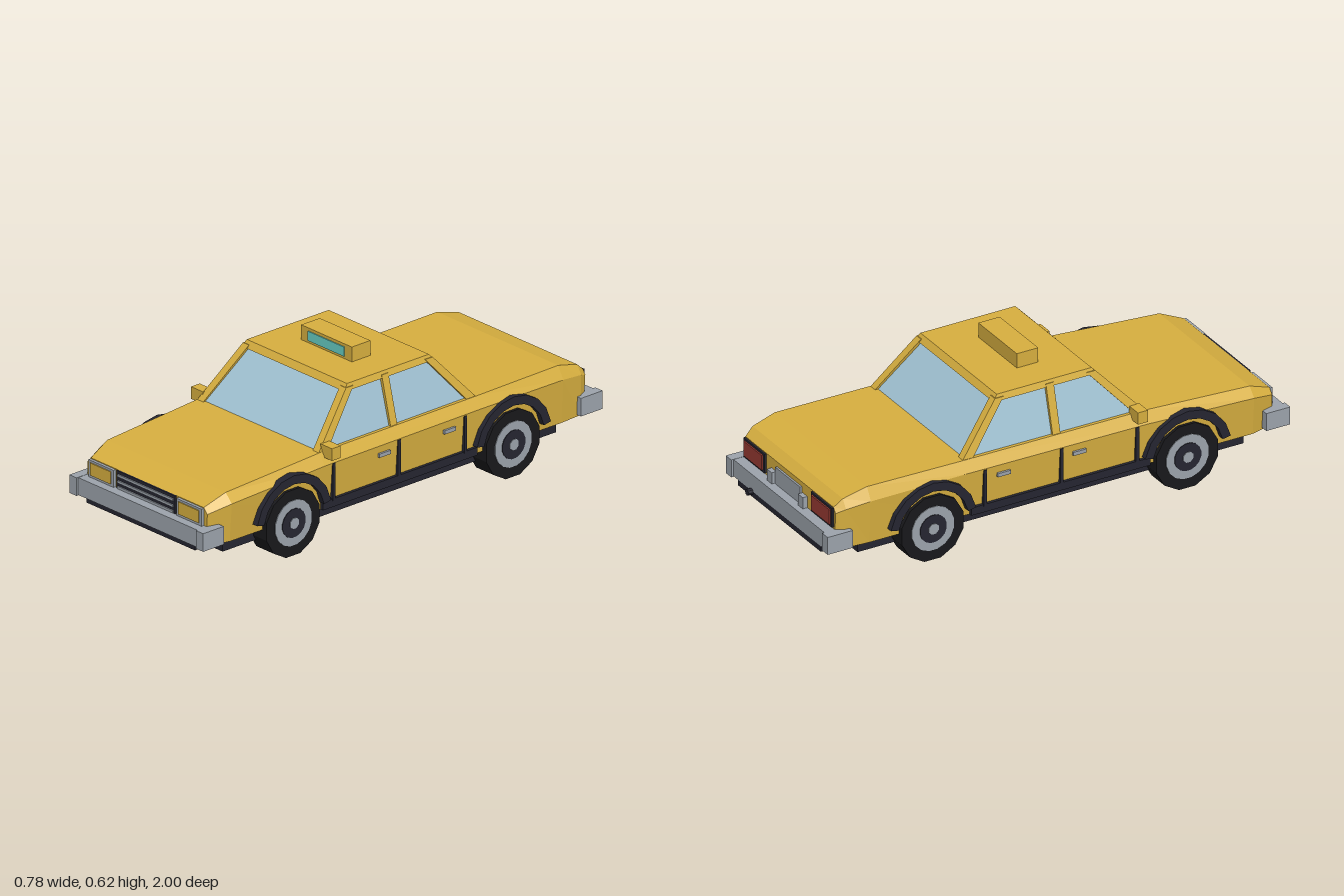
import * as THREE from 'three';

const paint = (name, color) => {
  const m = new THREE.MeshStandardMaterial({ color });
  m.name = name;
  return m;
};

export function createModel() {
  const yellow = paint('yellow paint', 0xd6ae3f);
  const glass = paint('window glass', 0xa2c4d5);
  const trim = paint('dark trim', 0x252530);
  const rubber = paint('tyre rubber', 0x18181b);
  const metal = paint('grey metal', 0x9ba2aa);
  const red = paint('tail light red', 0x963a32);
  const teal = paint('sign teal', 0x66ccc2);

  const car = new THREE.Group();
  car.name = 'sedanCab';

  const add = (name, geometry, material, parent = car) => {
    const mesh = new THREE.Mesh(geometry, material);
    mesh.name = name;
    parent.add(mesh);
    return mesh;
  };

  // Box given by its minimum and maximum on each axis
  const box = (name, material, [x0, x1], [y0, y1], [z0, z1]) => {
    const g = new THREE.BoxGeometry(x1 - x0, y1 - y0, z1 - z0);
    g.translate((x0 + x1) / 2, (y0 + y1) / 2, (z0 + z1) / 2);
    return add(name, g, material);
  };

  // The same box on both sides, x measured outwards
  const boxPair = (name, material, [x0, x1], y, z) => {
    box(name + 'Left', material, [x0, x1], y, z);
    box(name + 'Right', material, [-x1, -x0], y, z);
  };

  // Flat-faced skin through convex rings, with closed ends
  const loft = (name, material, rings) => {
    const pos = [];
    const tri = (...pts) => pts.forEach((p) => pos.push(...p));
    const n = rings[0].length;
    for (let r = 0; r < rings.length - 1; r++) {
      const a = rings[r], b = rings[r + 1];
      for (let i = 0; i < n; i++) {
        const j = (i + 1) % n;
        tri(a[i], a[j], b[j]);
        tri(a[i], b[j], b[i]);
      }
    }
    const first = rings[0], last = rings[rings.length - 1];
    for (let i = 1; i < n - 1; i++) {
      tri(first[0], first[i + 1], first[i]);
      tri(last[0], last[i], last[i + 1]);
    }
    const g = new THREE.BufferGeometry();
    g.setAttribute('position', new THREE.Float32BufferAttribute(pos, 3));
    g.computeVertexNormals();
    return add(name, g, material);
  };

  // Horizontal rectangle for lofting upwards
  const rect = (y, x0, x1, z0, z1) => [[x1, y, z1], [x1, y, z0], [x0, y, z0], [x0, y, z1]];

  // Lower body: z, bottom half-width, belt (half-width, y), top (half-width, y)
  const sections = [
    [-0.935, 0.325, 0.335, 0.285, 0.32, 0.305],
    [-0.90, 0.345, 0.352, 0.30, 0.328, 0.335],
    [-0.80, 0.352, 0.363, 0.312, 0.335, 0.362],
    [-0.39, 0.352, 0.365, 0.315, 0.337, 0.358],
    [0.39, 0.352, 0.365, 0.31, 0.337, 0.355],
    [0.85, 0.350, 0.362, 0.29, 0.328, 0.326],
    [0.945, 0.325, 0.332, 0.265, 0.312, 0.287],
  ];
  loft('body', yellow, sections.map(([z, wb, wm, ym, wt, yt]) => [
    [wb, 0.135, z], [wm, ym, z], [wt, yt, z],
    [-wt, yt, z], [-wm, ym, z], [-wb, 0.135, z],
  ]));
  box('chassis', trim, [-0.30, 0.30], [0.075, 0.14], [-0.82, 0.84]);
  boxPair('sill', trim, [0.34, 0.367], [0.135, 0.167], [-0.37, 0.40]);

  // Cabin: glass core, pillars and roof
  loft('windows', glass, [
    rect(0.35, -0.325, 0.325, -0.382, 0.388),
    rect(0.54, -0.273, 0.273, -0.208, 0.203),
  ]);
  for (const s of [1, -1]) {
    const side = s > 0 ? 'Left' : 'Right';
    const pillar = (name, bottom, top) => {
      const ring = (y, [xi, xo, z0, z1]) => rect(y, Math.min(s * xi, s * xo), Math.max(s * xi, s * xo), z0, z1);
      loft(name + side, yellow, [ring(0.35, bottom), ring(0.548, top)]);
    };
    pillar('frontPillar', [0.304, 0.337, 0.352, 0.398], [0.252, 0.285, 0.175, 0.212]);
    pillar('middlePillar', [0.30, 0.335, 0.0, 0.033], [0.25, 0.284, 0.0, 0.033]);
    pillar('rearPillar', [0.304, 0.337, -0.395, -0.35], [0.252, 0.285, -0.22, -0.183]);
  }
  loft('roof', yellow, [
    rect(0.535, -0.286, 0.286, -0.226, 0.219),
    rect(0.56, -0.277, 0.277, -0.208, 0.2),
  ]);

  // Roof sign
  box('roofSign', yellow, [-0.14, 0.14], [0.555, 0.62], [-0.04, 0.052]);
  box('signPanel', teal, [-0.10, 0.10], [0.57, 0.608], [0.05, 0.056]);

  // Door gaps, handles and mirrors
  for (const z of [0.345, 0.02, -0.31]) {
    boxPair('doorGap', trim, [0.345, 0.3675], [0.16, 0.31], [z - 0.007, z + 0.007]);
  }
  for (const z of [0.095, -0.23]) {
    boxPair('doorHandle', metal, [0.35, 0.372], [0.268, 0.283], [z - 0.028, z + 0.028]);
  }
  boxPair('mirror', yellow, [0.325, 0.39], [0.335, 0.384], [0.333, 0.376]);

  // Grille and headlights
  box('grille', trim, [-0.162, 0.162], [0.205, 0.287], [0.92, 0.952]);
  for (const y of [0.222, 0.245, 0.27]) {
    box('grilleSlat', metal, [-0.153, 0.153], [y - 0.005, y + 0.005], [0.945, 0.957]);
  }
  boxPair('headlightFrame', metal, [0.174, 0.313], [0.215, 0.284], [0.92, 0.957]);
  boxPair('headlight', yellow, [0.187, 0.30], [0.225, 0.275], [0.954, 0.961]);

  // Tail lights and plate
  boxPair('tailLightFrame', trim, [0.168, 0.322], [0.222, 0.302], [-0.943, -0.91]);
  boxPair('tailLight', red, [0.178, 0.312], [0.232, 0.294], [-0.949, -0.94]);
  box('rearPlate', metal, [-0.09, 0.09], [0.215, 0.285], [-0.943, -0.92]);
  boxPair('rearGuard', metal, [0.095, 0.13], [0.21, 0.262], [-0.955, -0.92]);

  // Bumpers, with ends wrapping round the corners
  const bumper = (name, s, inner, end, barEnd) => {
    const z = (a, b) => (s > 0 ? [a, b] : [-b, -a]);
    box(name + 'Bar', metal, [-0.335, 0.335], [0.145, 0.215], z(0.93, barEnd));
    boxPair(name + 'End', metal, [0.33, 0.37], [0.143, 0.216], z(inner, end));
    box(name + 'Lip', trim, [-0.30, 0.30], [0.12, 0.146], z(0.93, 0.978));
  };
  bumper('frontBumper', 1, 0.897, 1.0, 0.992);
  bumper('rearBumper', -1, 0.882, 0.99, 0.98);

  // Exhaust
  const pipe = new THREE.CylinderGeometry(0.013, 0.013, 0.1, 8).toNonIndexed();
  pipe.rotateX(Math.PI / 2);
  pipe.computeVertexNormals();
  add('exhaust', pipe, trim).position.set(0.2, 0.143, -0.95);

  // Wheel discs lie along x; x0 and x1 measured outwards
  const disc = (name, material, s, r, x0, x1, sides, parent) => {
    let g = new THREE.CylinderGeometry(r, r, x1 - x0, sides, 1, false, Math.PI / sides);
    g = g.toNonIndexed();
    g.rotateZ(Math.PI / 2);
    g.computeVertexNormals();
    add(name, g, material, parent).position.x = s * (x0 + x1) / 2;
  };

  // Half-ring flare over each wheel
  const arch = new THREE.Shape();
  const steps = 8, from = 0.19;
  for (let k = 0; k <= 2 * steps + 1; k++) {
    const i = k <= steps ? k : 2 * steps + 1 - k;
    const r = k <= steps ? 0.187 : 0.152;
    const a = from + (Math.PI - 2 * from) * i / steps;
    arch[k ? 'lineTo' : 'moveTo'](r * Math.cos(a), r * Math.sin(a));
  }
  const archGeometry = new THREE.ExtrudeGeometry(arch, { depth: 0.04, bevelEnabled: false });
  archGeometry.translate(0, 0, -0.02);
  archGeometry.rotateY(-Math.PI / 2);

  for (const [place, z] of [['front', 0.555], ['rear', -0.54]]) {
    for (const s of [1, -1]) {
      const wheel = new THREE.Group();
      wheel.name = place + (s > 0 ? 'LeftWheel' : 'RightWheel');
      wheel.position.set(0, 0.1325, z);
      car.add(wheel);
      disc('tyre', rubber, s, 0.137, 0.277, 0.373, 12, wheel);
      disc('rim', metal, s, 0.092, 0.33, 0.376, 16, wheel);
      disc('rimCentre', trim, s, 0.058, 0.34, 0.379, 16, wheel);
      disc('hubCap', metal, s, 0.023, 0.35, 0.382, 8, wheel);
      add(place + 'WheelArch', archGeometry, trim).position.set(s * 0.36, 0.138, z);
    }
  }
  return car;
}
